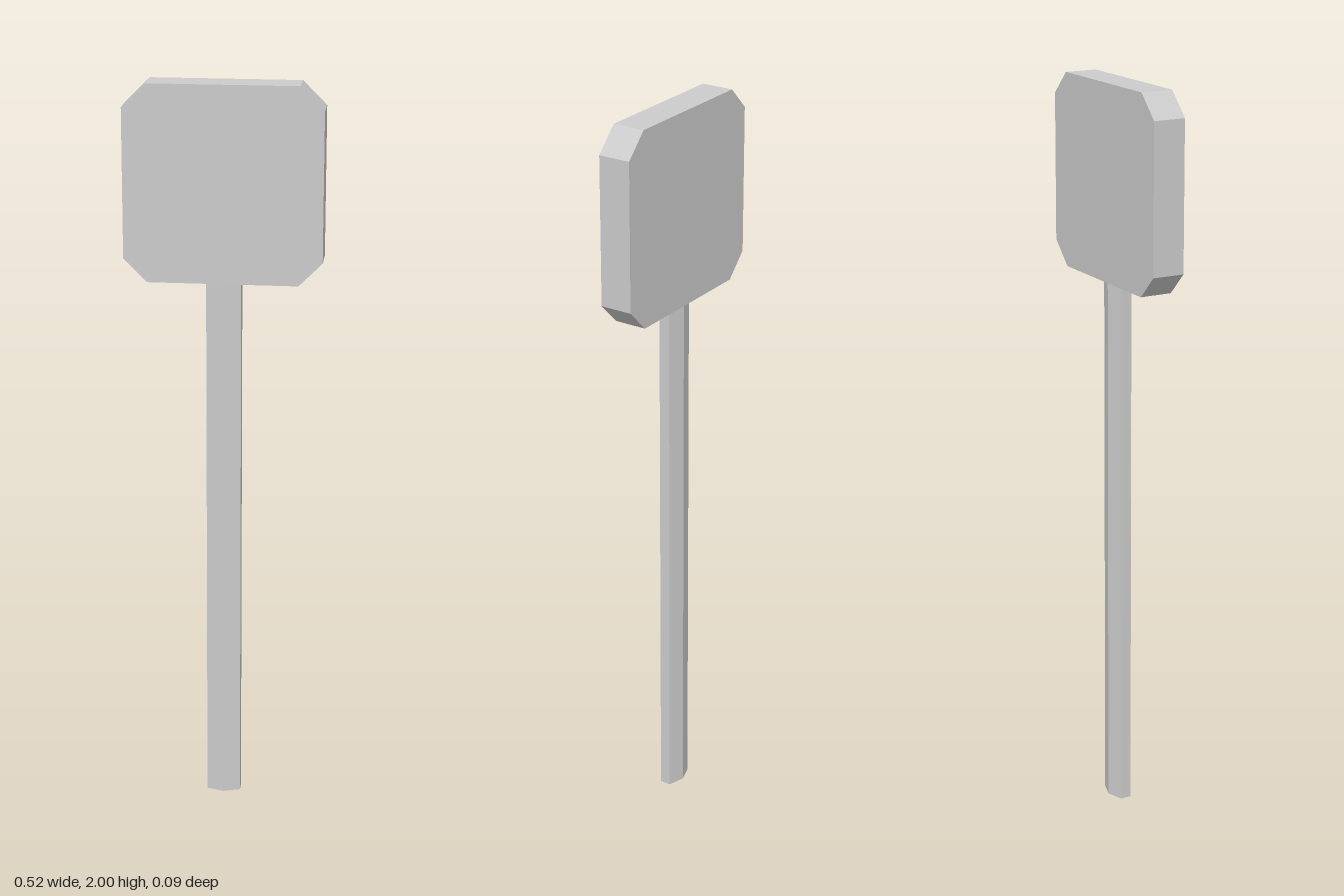
import * as THREE from 'three';

export function createModel() {
  const model = new THREE.Group();
  const material = new THREE.MeshStandardMaterial({ color: 0xcccccc, flatShading: true });

  // Handle: six-sided rod, flattened front to back
  const handleHeight = 1.485;
  const handleGeometry = new THREE.CylinderGeometry(1, 1, handleHeight, 6);
  handleGeometry.scale(0.046 / Math.sin(Math.PI / 3), 1, 0.03);
  const handle = new THREE.Mesh(handleGeometry, material);
  handle.name = 'handle';
  handle.position.y = handleHeight / 2;
  model.add(handle);

  // Head: square slab with cut corners
  const half = 0.259, inner = 0.197, depth = 0.088;
  const outline = new THREE.Shape([
    [inner, -half], [half, -inner], [half, inner], [inner, half],
    [-inner, half], [-half, inner], [-half, -inner], [-inner, -half],
  ].map(([x, y]) => new THREE.Vector2(x, y)));
  const headGeometry = new THREE.ExtrudeGeometry(outline, { depth, bevelEnabled: false });
  const head = new THREE.Mesh(headGeometry, material);
  head.name = 'head';
  head.position.set(0, 2 - half, -depth / 2);
  model.add(head);

  return model;
}
